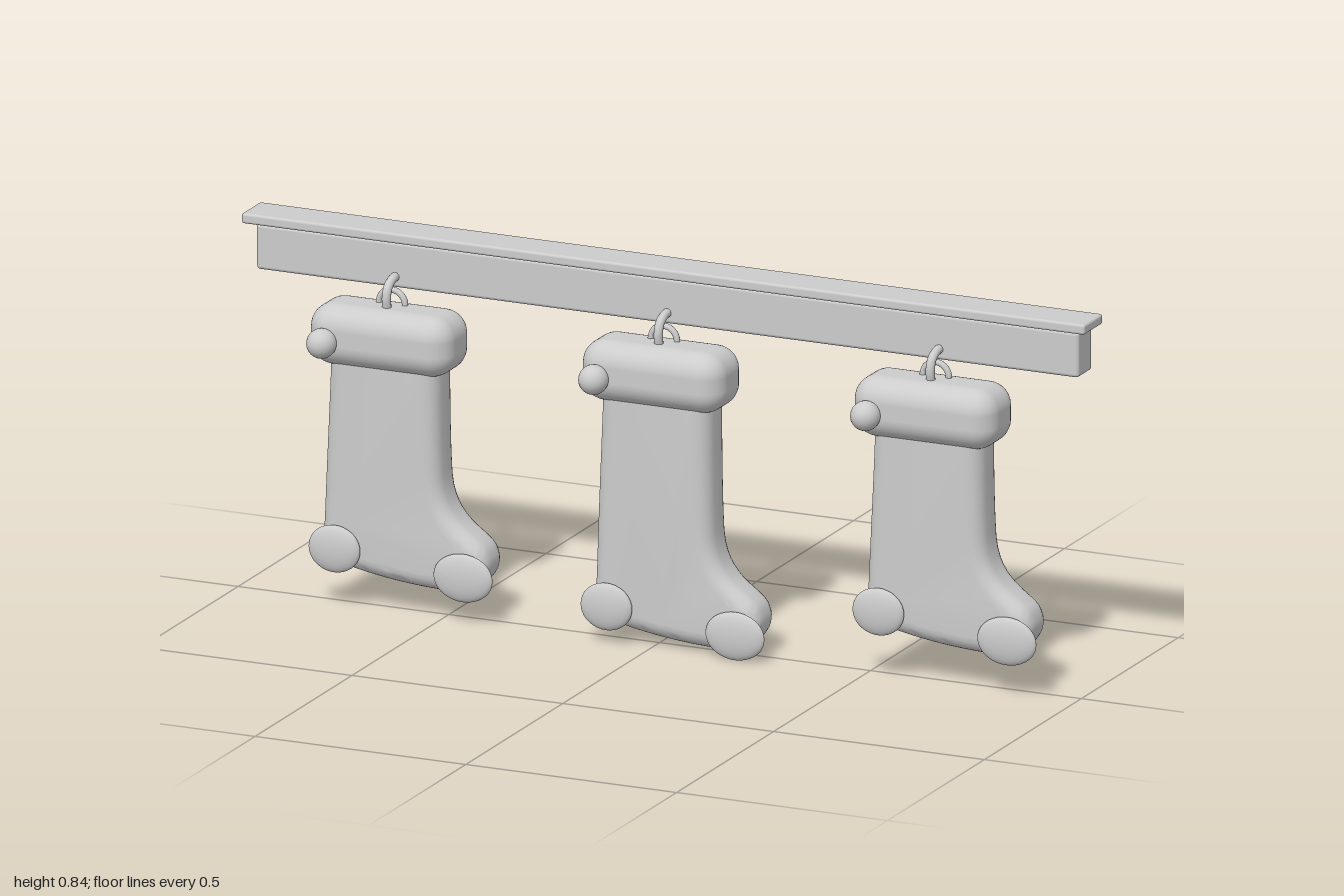
import * as THREE from 'three';
import { toCreasedNormals } from 'three/addons/utils/BufferGeometryUtils.js';
import { RoundedBoxGeometry } from 'three/addons/geometries/RoundedBoxGeometry.js';

const clay = new THREE.MeshStandardMaterial({ color: 0xcccccc });
clay.name = 'light grey';

function add(parent, name, geometry, x = 0, y = 0, z = 0) {
  const mesh = new THREE.Mesh(geometry, clay);
  mesh.name = name;
  mesh.position.set(x, y, z);
  parent.add(mesh);
  return mesh;
}

// Padded sock: outline in x/y with softly rounded front and back edges
function sockGeometry(d) {
  const s = new THREE.Shape();
  s.moveTo(-0.125, 0.62);
  s.bezierCurveTo(-0.128, 0.5, -0.136, 0.36, -0.142, 0.2 + d);
  s.bezierCurveTo(-0.147, 0.13 + d, -0.14, 0.103 + d, -0.09, 0.092 + d);
  s.bezierCurveTo(-0.02, 0.075 + d, 0.08, 0.064 + d, 0.16, 0.064 + d);
  s.bezierCurveTo(0.225, 0.064 + d, 0.262, 0.115 + d, 0.245, 0.155 + d);
  s.bezierCurveTo(0.235, 0.2 + d, 0.148, 0.2 + d, 0.137, 0.31 + d);
  s.bezierCurveTo(0.131, 0.4 + d, 0.132, 0.5, 0.13, 0.62);
  s.closePath();
  const bevel = 0.036;
  const geometry = new THREE.ExtrudeGeometry(s, {
    depth: 0.108 - 2 * bevel, curveSegments: 14,
    bevelEnabled: true, bevelSize: bevel, bevelThickness: bevel, bevelOffset: -bevel, bevelSegments: 6,
  });
  geometry.translate(0, 0, -0.065 + bevel);
  return toCreasedNormals(geometry, 0.9);
}

// Flattened round patch on the front of the sock
function addPatch(parent, name, x, y, rx, ry) {
  const patch = add(parent, name, new THREE.SphereGeometry(1, 28, 18), x, y, 0.051);
  patch.scale.set(rx, ry, 0.017);
  return patch;
}

function makeStocking(x, d) {
  const g = new THREE.Group();
  g.name = 'stocking';
  g.position.x = x;
  add(g, 'sock', sockGeometry(d));
  add(g, 'cuff', new RoundedBoxGeometry(0.337, 0.136, 0.153, 5, 0.052), 0, 0.613, -0.007);
  add(g, 'pompom', new THREE.SphereGeometry(0.033, 24, 16), -0.12, 0.605, 0.081);
  addPatch(g, 'heelPatch', -0.103, 0.137 + d, 0.061, 0.053);
  addPatch(g, 'toePatch', 0.202, 0.109 + d, 0.07, 0.054);

  // Hanging loop on the cuff and the hook that holds it
  add(g, 'loop', new THREE.TorusGeometry(0.031, 0.007, 10, 24, Math.PI), 0, 0.682, -0.022);
  const path = new THREE.CatmullRomCurve3([
    [-0.045, 0.738], [-0.022, 0.736], [-0.002, 0.725], [0.007, 0.704], [0, 0.66],
  ].map(([z, y]) => new THREE.Vector3(0, y, z)));
  add(g, 'hook', new THREE.TubeGeometry(path, 24, 0.01, 12));
  return g;
}

export function createModel() {
  const model = new THREE.Group();
  model.name = 'mantelWithStockings';

  // Mantel beam with a thin shelf on top
  add(model, 'mantelBeam', new RoundedBoxGeometry(1.95, 0.102, 0.073, 3, 0.008), 0, 0.764, -0.0745);
  add(model, 'mantelShelf', new RoundedBoxGeometry(2, 0.023, 0.097, 3, 0.006), 0, 0.8305, -0.0635);
  // Thin joint between beam and shelf
  add(model, 'mantelJoint', new THREE.BoxGeometry(1.92, 0.012, 0.06), 0, 0.817, -0.0745);

  // Three stockings of differing length
  [[-0.645, 0], [0, -0.049], [0.645, 0.021]].forEach(([x, d]) => model.add(makeStocking(x, d)));
  return model;
}
